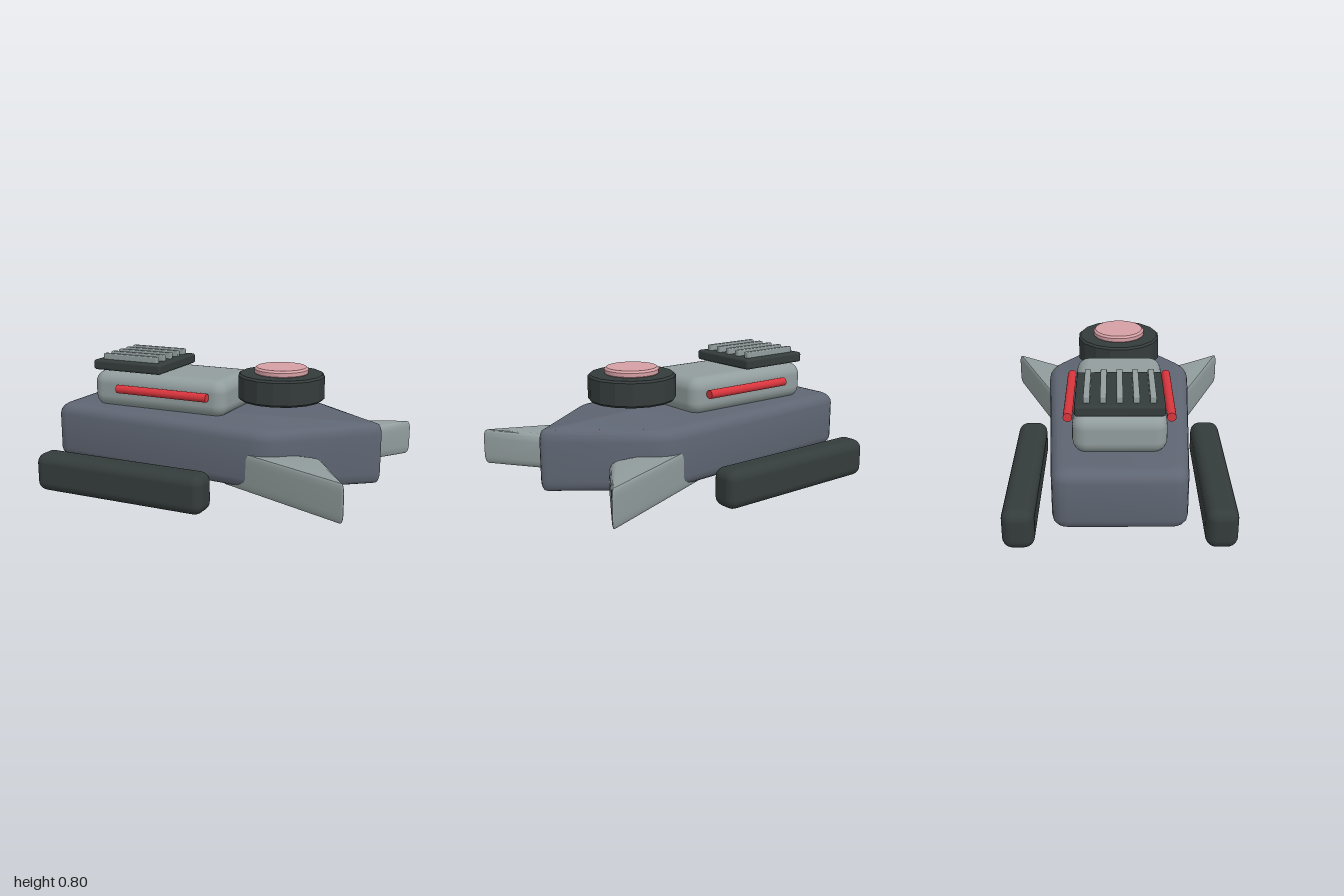
import * as THREE from 'three';
import { toCreasedNormals } from 'three/addons/utils/BufferGeometryUtils.js';
import { RoundedBoxGeometry } from 'three/addons/geometries/RoundedBoxGeometry.js';

const material = (name, color) => {
  const m = new THREE.MeshStandardMaterial({ color });
  m.name = name;
  return m;
};

// Convex slab with rounded corners and bevelled rims.
// Each corner is [x, z, corner trim, bevel inset factor].
function bevelledSlab(corners, y0, y1, bevel) {
  const area = corners.reduce((sum, [x, z], i) => {
    const [nx, nz] = corners[(i + 1) % corners.length];
    return sum + x * nz - nx * z;
  }, 0);
  const list = area > 0 ? [...corners].reverse() : corners;
  const n = list.length;
  const pts = list.map(([x, z]) => new THREE.Vector2(x, z));

  // outline pulled inward at every corner, then rounded
  const ring = (inset, y) => {
    const moved = pts.map((p, i) => {
      const u = pts[(i + n - 1) % n].clone().sub(p).normalize();
      const v = pts[(i + 1) % n].clone().sub(p).normalize();
      return p.clone().addScaledVector(u.add(v).normalize(), inset * list[i][3]);
    });
    const out = [];
    moved.forEach((p, i) => {
      const trim = list[i][2] * (1 - 0.4 * inset / bevel);
      const toward = (q) => p.clone().add(q.clone().sub(p).setLength(trim));
      const curve = new THREE.QuadraticBezierCurve(
        toward(moved[(i + n - 1) % n]), p, toward(moved[(i + 1) % n]));
      curve.getPoints(4).forEach((q) => out.push([q.x, y, q.y]));
    });
    return out;
  };

  const rings = [];
  const steps = 4;
  for (let k = 0; k <= steps; k++) {
    const a = (k / steps) * Math.PI / 2;
    rings.push(ring(bevel * (1 - Math.sin(a)), y0 + bevel * (1 - Math.cos(a))));
  }
  for (let k = steps; k >= 0; k--) {
    const a = (k / steps) * Math.PI / 2;
    rings.push(ring(bevel * (1 - Math.sin(a)), y1 - bevel * (1 - Math.cos(a))));
  }

  const count = rings[0].length;
  const index = [];
  for (let r = 0; r < rings.length - 1; r++) {
    for (let i = 0; i < count; i++) {
      const j = (i + 1) % count;
      const a = r * count + i, b = r * count + j;
      index.push(a, b, b + count, a, b + count, a + count);
    }
  }
  const top = (rings.length - 1) * count;
  for (let i = 1; i < count - 1; i++) {
    index.push(0, i + 1, i, top, top + i, top + i + 1);
  }
  const geo = new THREE.BufferGeometry();
  geo.setAttribute('position', new THREE.Float32BufferAttribute(rings.flat(2), 3));
  geo.setIndex(index);
  return toCreasedNormals(geo, 0.7);
}

// Upright disc with chamfered rims
function chamferedDisc(radius, y0, y1, chamfer, sides, crease) {
  const profile = [
    [0, y0], [radius - chamfer, y0], [radius, y0 + chamfer],
    [radius, y1 - chamfer], [radius - chamfer, y1], [0, y1],
  ].map(([r, y]) => new THREE.Vector2(r, y));
  return toCreasedNormals(new THREE.LatheGeometry(profile, sides, Math.PI / sides), crease);
}

export function createModel() {
  const model = new THREE.Group();
  model.name = 'hoverCraft';

  const slate = material('slate hull', 0x5f6673);
  const grey = material('pale grey', 0x929d9d);
  const dark = material('dark charcoal', 0x343c3b);
  const red = material('signal red', 0xd9353d);
  const pink = material('dusty pink', 0xd6a0a5);

  const add = (name, geometry, mat, x = 0, y = 0, z = 0) => {
    const mesh = new THREE.Mesh(geometry, mat);
    mesh.name = name;
    mesh.position.set(x, y, z);
    model.add(mesh);
    return mesh;
  };
  // Rounded box given by its extents
  const box = (name, mat, [x0, x1], [y0, y1], [z0, z1], radius) =>
    add(name, new RoundedBoxGeometry(x1 - x0, y1 - y0, z1 - z0, 3, radius), mat,
      (x0 + x1) / 2, (y0 + y1) / 2, (z0 + z1) / 2);

  // Pointed hull
  add('hull', bevelledSlab([
    [-1, 0.355, 0.08, 1.4], [0.46, 0.458, 0.1, 1.07], [1.015, 0, 0.05, 0.5],
    [0.46, -0.458, 0.1, 1.07], [-1, -0.355, 0.08, 1.4],
  ], 0.14, 0.49, 0.065), slate);

  // Raised cabin
  box('cabin', grey, [-0.79, 0.115], [0.475, 0.7], [-0.255, 0.255], 0.075);

  // Vent with slats on the cabin roof
  box('ventBase', dark, [-0.785, -0.315], [0.705, 0.767], [-0.24, 0.24], 0.015);
  for (let i = -2; i <= 2; i++) {
    const z = i * 0.088;
    box('ventSlat', grey, [-0.74, -0.36], [0.745, 0.803], [z - 0.017, z + 0.017], 0.007);
  }

  // Round turret and its cap
  add('turret', chamferedDisc(0.258, 0.582, 0.737, 0.012, 16, 0.3), dark, 0.378);
  add('turretCap', chamferedDisc(0.16, 0.73, 0.776, 0.012, 32, 0.5), pink, 0.378);

  // Mirrored side parts
  for (const s of [1, -1]) {
    add('fin', bevelledSlab([
      [0.15, 0.37 * s, 0.04, 0.5], [0.74, 0.288 * s, 0.07, 1.15], [1.01, 0.722 * s, 0.03, 0.6],
    ], 0.133, 0.347, 0.05), grey);

    const z = 0.547 * s;
    box('skid', dark, [-0.977, 0.15], [0, 0.235], [z - 0.089, z + 0.089], 0.06);

    const rod = add('lightBar', new THREE.CylinderGeometry(0.026, 0.026, 0.61, 20), red,
      -0.28, 0.607, 0.286 * s);
    rod.rotation.z = Math.PI / 2;
  }
  return model;
}
